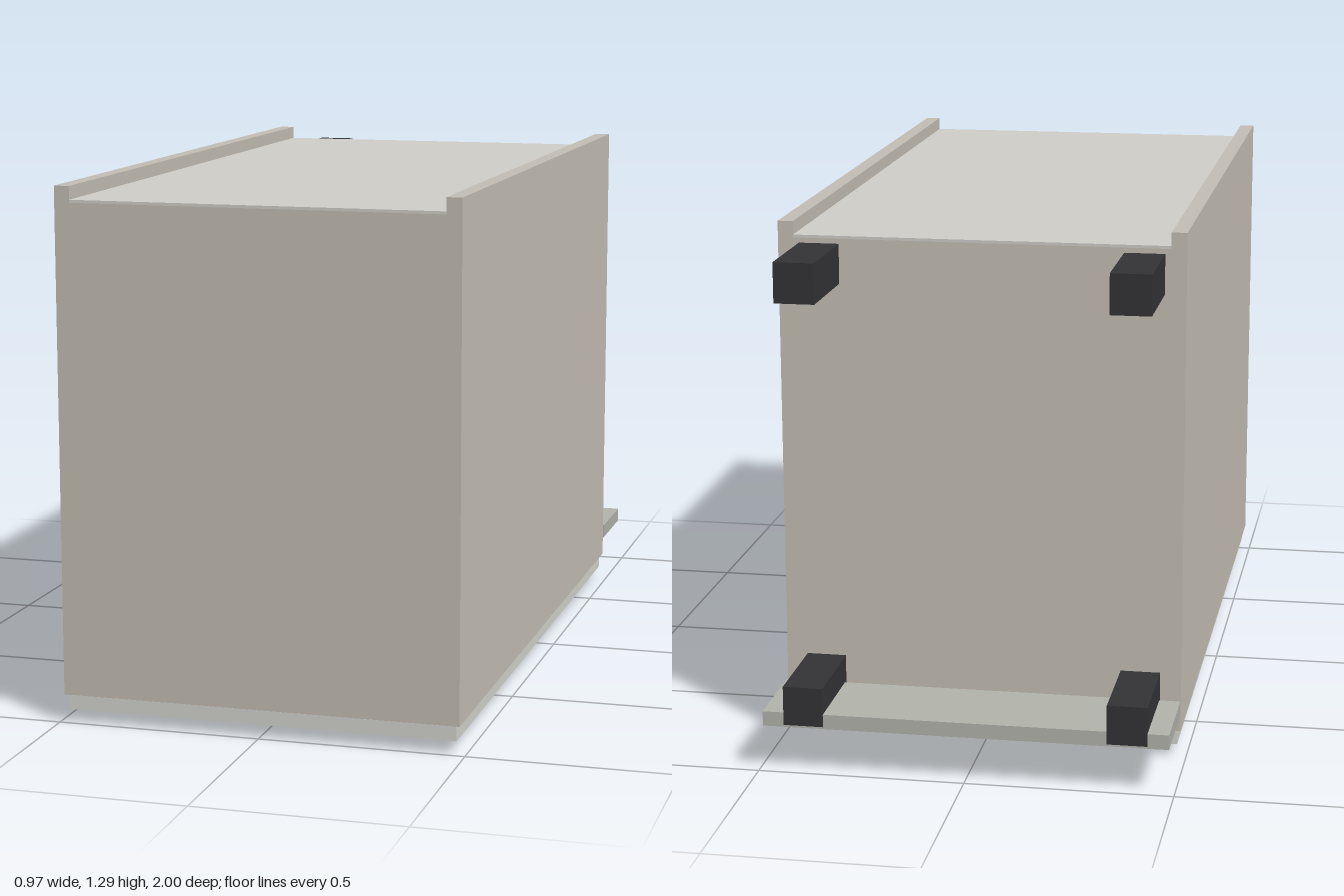
import * as THREE from 'three';

const mat = (color) => new THREE.MeshStandardMaterial({ color });

export function createModel() {
  const model = new THREE.Group();
  model.name = 'cabinet';
  const carcassMat = mat(0xc4beb4);
  const backMat = mat(0xcfcec8);
  const doorMat = mat(0xd4d4ce);
  const plinthMat = mat(0xb2b3ab);
  const legMat = mat(0x333336);
  const handleMat = mat(0x87858a);

  // Box given by its limits on each axis
  const box = (name, material, [x0, x1], [y0, y1], [z0, z1], parent = model) => {
    const mesh = new THREE.Mesh(new THREE.BoxGeometry(x1 - x0, y1 - y0, z1 - z0), material);
    mesh.position.set((x0 + x1) / 2, (y0 + y1) / 2, (z0 + z1) / 2);
    mesh.name = name;
    parent.add(mesh);
    return mesh;
  };

  const W = 0.487, T = 0.037, IN = W - T; // half width, board thickness, inner half width
  const Y0 = 0.07, Y1 = 1.292, BACK = 1.26; // door opening, side edges, recessed back panel
  const Z0 = -0.755, Z1 = 1;

  // Carcass lying on its door: two sides, two end boards, recessed back panel
  const carcass = new THREE.Group();
  carcass.name = 'carcass';
  model.add(carcass);
  box('leftSide', carcassMat, [IN, W], [Y0, Y1], [Z0, Z1], carcass);
  box('rightSide', carcassMat, [-W, -IN], [Y0, Y1], [Z0, Z1], carcass);
  box('topBoard', carcassMat, [-IN, IN], [Y0, BACK - 0.007], [Z1 - T, Z1], carcass);
  box('bottomBoard', carcassMat, [-IN, IN], [Y0, BACK - 0.007], [Z0, Z0 + T], carcass);
  box('backPanel', backMat, [-IN, IN], [BACK - 0.007, BACK], [Z0, Z1], carcass);

  // Door under the carcass, with its bar handle
  box('door', doorMat, [-0.478, 0.478], [0.032, 0.067], [-0.746, 0.991]);
  box('handle', handleMat, [-0.118, 0.118], [0, 0.032], [0.8, 0.825]);

  // Four square legs at the cabinet's foot end
  for (const x of [-0.388, 0.388]) {
    for (const y of [0.168, 1.193]) {
      box('leg', legMat, [x - 0.048, x + 0.048], [y - 0.048, y + 0.048], [-1, Z0]);
    }
  }

  // Plinth board across the lower pair of legs
  box('plinth', plinthMat, [-W, W], [0.115, 0.151], [-0.999, -0.77]);

  return model;
}
